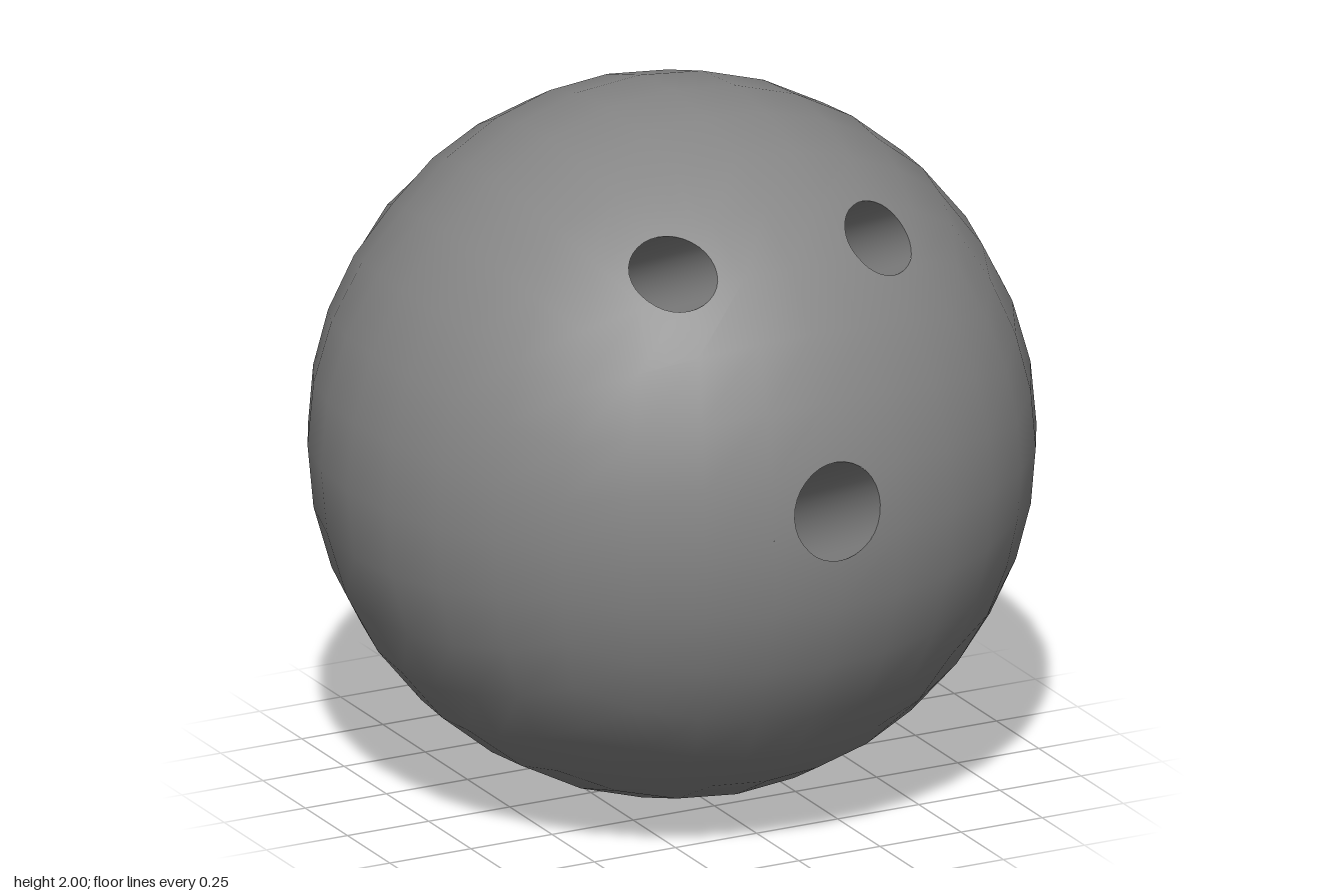
import * as THREE from 'three';

const SIDES = 32;
const TILT = THREE.MathUtils.degToRad(24);
// All three holes are drilled along one shared direction
const AXIS = new THREE.Vector3(0, Math.sin(TILT), Math.cos(TILT));
const UP = new THREE.Vector3(0, Math.cos(TILT), -Math.sin(TILT));
const DEPTH = 0.56;
const HOLES = [
  { name: 'thumbHole', centre: new THREE.Vector3(0, 0.09, 0.985), radius: 0.132 },
  { name: 'leftFingerHole', centre: new THREE.Vector3(0.318, 0.71, 0.608), radius: 0.109 },
  { name: 'rightFingerHole', centre: new THREE.Vector3(-0.314, 0.71, 0.608), radius: 0.109 },
];

// Ball of even quads: a gridded cube bulged onto a unit sphere
function quadSphere() {
  const geometry = new THREE.BoxGeometry(2, 2, 2, 8, 8, 8);
  const pos = geometry.attributes.position;
  const bulge = (t) => Math.tan(t * Math.PI / 4);
  const p = new THREE.Vector3();
  for (let i = 0; i < pos.count; i++) {
    p.fromBufferAttribute(pos, i);
    p.set(bulge(p.x), bulge(p.y), bulge(p.z)).normalize();
    pos.setXYZ(i, p.x, p.y, p.z);
  }
  return geometry;
}

// Point on the side of a drill, "along" measured from the hole's centre
function drillPoint(hole, i, along) {
  const a = (i / SIDES) * Math.PI * 2;
  return hole.centre.clone()
    .add(new THREE.Vector3(Math.cos(a) * hole.radius, 0, 0))
    .addScaledVector(UP, Math.sin(a) * hole.radius)
    .addScaledVector(AXIS, along);
}

// Side planes of a drill, facing outwards
function drillPlanes(hole) {
  return Array.from({ length: SIDES }, (_, i) => {
    const p = drillPoint(hole, i, 0);
    const edge = drillPoint(hole, i + 1, 0).sub(p);
    return new THREE.Plane().setFromNormalAndCoplanarPoint(edge.cross(AXIS).normalize(), p);
  });
}

// Split a convex polygon into the parts outside and inside a plane
function split(poly, plane) {
  const outside = [], inside = [];
  poly.forEach((p, i) => {
    const q = poly[(i + 1) % poly.length];
    const dp = plane.distanceToPoint(p), dq = plane.distanceToPoint(q);
    if (dp >= 0) outside.push(p);
    if (dp <= 0) inside.push(p);
    if (dp * dq < 0) {
      const cut = p.clone().lerp(q, dp / (dp - dq));
      outside.push(cut);
      inside.push(cut);
    }
  });
  return { outside, inside };
}

// Remove everything within the drill from a list of polygons
function drill(polys, hole) {
  const planes = drillPlanes(hole);
  const kept = [];
  for (const poly of polys) {
    const behind = poly.some((p) => p.dot(AXIS) < 0);
    const clear = planes.some((pl) => poly.every((p) => pl.distanceToPoint(p) >= 0));
    if (behind || clear) {
      kept.push(poly);
      continue;
    }
    let rest = poly;
    for (const plane of planes) {
      const { outside, inside } = split(rest, plane);
      if (outside.length > 2) kept.push(outside);
      rest = inside;
      if (rest.length < 3) break;
    }
  }
  return kept;
}

// Sphere surface with the holes cut out, smooth normals
function shellGeometry(sphere) {
  const pos = sphere.toNonIndexed().attributes.position;
  let polys = [];
  for (let i = 0; i < pos.count; i += 3) {
    polys.push([0, 1, 2].map((k) => new THREE.Vector3().fromBufferAttribute(pos, i + k)));
  }
  for (const hole of HOLES) polys = drill(polys, hole);
  const points = [];
  for (const poly of polys) {
    for (let i = 1; i < poly.length - 1; i++) points.push(poly[0], poly[i], poly[i + 1]);
  }
  const geometry = new THREE.BufferGeometry().setFromPoints(points);
  const normals = points.flatMap((p) => p.clone().normalize().toArray());
  geometry.setAttribute('normal', new THREE.Float32BufferAttribute(normals, 3));
  return geometry;
}

// Shaft wall, from the rim on the ball's surface down to the floor
function wallGeometry(hole, solid) {
  const ray = new THREE.Raycaster();
  const inward = AXIS.clone().negate();
  const points = [], index = [];
  for (let i = 0; i < SIDES; i++) {
    ray.set(drillPoint(hole, i, 1), inward);
    const hit = ray.intersectObject(solid)[0];
    points.push(hit ? hit.point.clone() : drillPoint(hole, i, 0), drillPoint(hole, i, -DEPTH));
    const a = 2 * i, b = 2 * ((i + 1) % SIDES);
    index.push(a, b, a + 1, b, b + 1, a + 1);
  }
  const geometry = new THREE.BufferGeometry().setFromPoints(points);
  geometry.setIndex(index);
  geometry.computeVertexNormals();
  return geometry;
}

export function createModel() {
  const material = new THREE.MeshStandardMaterial({ color: 0x868686 });
  const model = new THREE.Group();
  model.name = 'bowlingBall';

  const add = (parent, name, geometry) => {
    const mesh = new THREE.Mesh(geometry, material);
    mesh.name = name;
    parent.add(mesh);
    return mesh;
  };

  // Ball
  const sphere = quadSphere();
  const solid = new THREE.Mesh(sphere, material);
  const ball = new THREE.Group();
  ball.name = 'ball';
  ball.position.y = 1;
  model.add(ball);
  add(ball, 'shell', shellGeometry(sphere));

  // Finger and thumb holes
  for (const hole of HOLES) {
    const group = new THREE.Group();
    group.name = hole.name;
    ball.add(group);
    add(group, 'holeWall', wallGeometry(hole, solid));
    const floor = add(group, 'holeFloor', new THREE.CircleGeometry(hole.radius, SIDES));
    floor.position.copy(hole.centre).addScaledVector(AXIS, -DEPTH);
    floor.rotation.x = -TILT;
  }
  return model;
}
